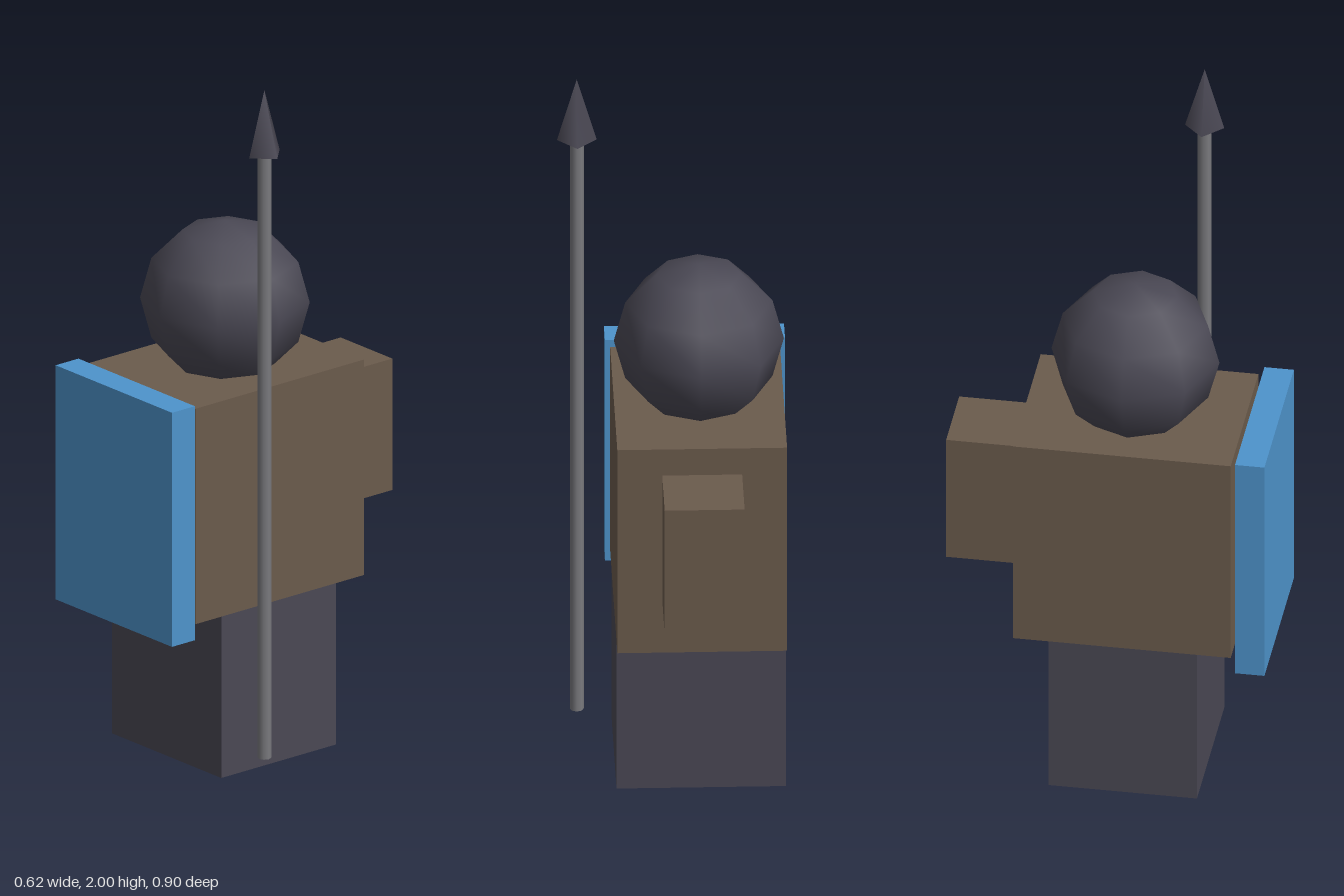
import * as THREE from 'three';

const material = (name, color) => {
  const m = new THREE.MeshStandardMaterial({ color });
  m.name = name;
  return m;
};

export function createModel() {
  const group = new THREE.Group();
  group.name = 'spearGuard';

  const slate = material('dark slate', 0x4a4854);
  const brown = material('leather brown', 0x6b5b4c);
  const blue = material('shield blue', 0x4e94cc);
  const grey = material('shaft grey', 0x7a7a7e);

  const add = (name, geometry, mat, x, y, z) => {
    const mesh = new THREE.Mesh(geometry, mat);
    mesh.name = name;
    mesh.position.set(x, y, z);
    group.add(mesh);
  };

  // Box given by its extents on each axis
  const addBox = (name, mat, [x0, x1], [y0, y1], [z0, z1]) =>
    add(name, new THREE.BoxGeometry(x1 - x0, y1 - y0, z1 - z0), mat,
      (x0 + x1) / 2, (y0 + y1) / 2, (z0 + z1) / 2);

  // Body
  addBox('legs', slate, [-0.3, 0.16], [0, 0.467], [-0.148, 0.26]);
  addBox('torso', brown, [-0.3, 0.161], [0.467, 1.09], [-0.246, 0.353]);
  addBox('backpack', brown, [-0.178, 0.039], [0.63, 1.01], [-0.45, -0.246]);
  add('head', new THREE.SphereGeometry(0.231, 8, 6), slate, -0.07, 1.269, 0.053);

  // Shield held in front of the chest
  addBox('shield', blue, [-0.314, 0.175], [0.428, 1.105], [0.367, 0.448]);

  // Spear on the left side
  add('spearShaft', new THREE.CylinderGeometry(0.019, 0.019, 1.745, 8), grey, 0.257, 0.9425, 0.189);
  add('spearTip', new THREE.ConeGeometry(0.054, 0.185, 4), slate, 0.257, 1.9075, 0.189);

  return group;
}
